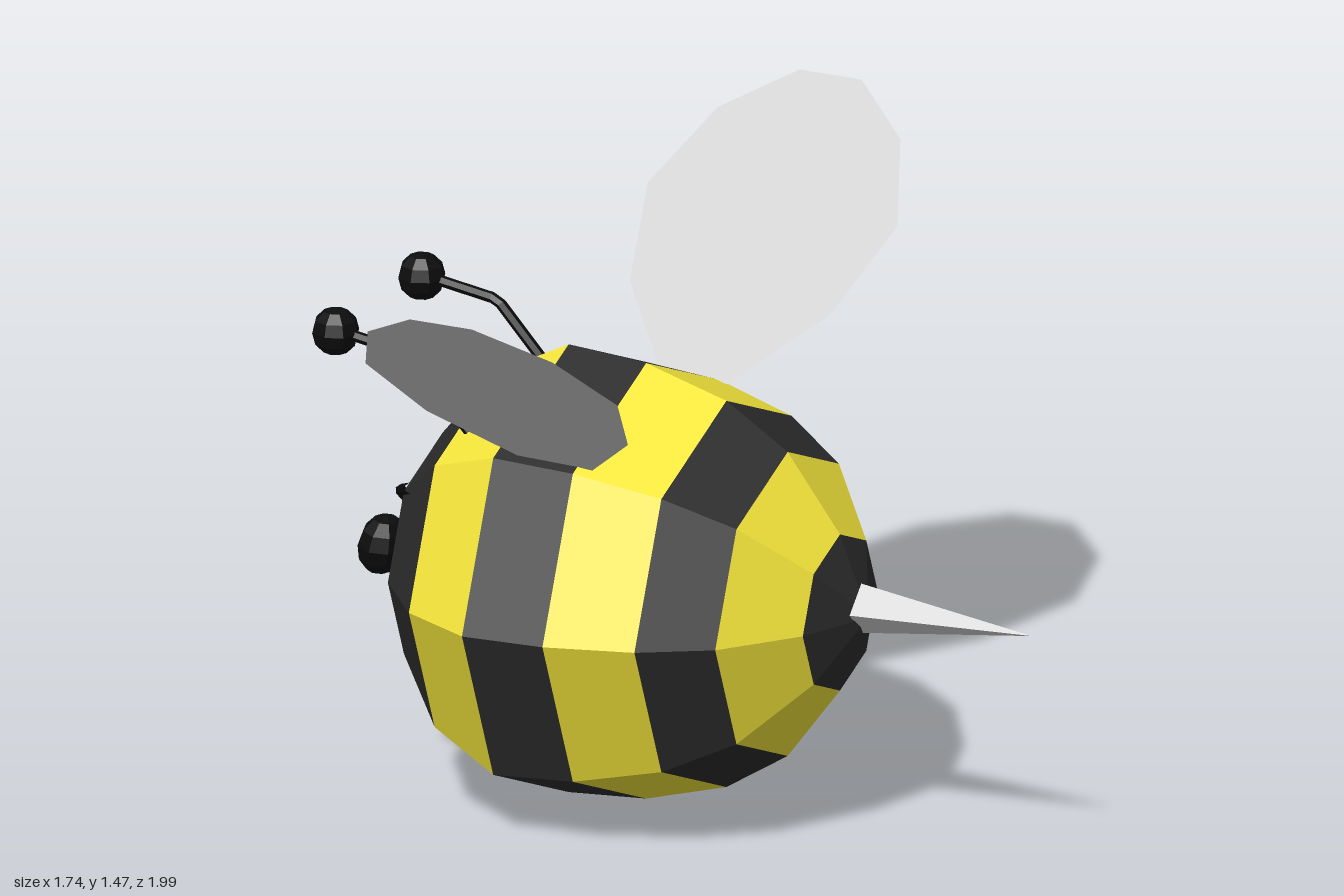
import * as THREE from 'three';

const mat = (color, extra = {}) => new THREE.MeshStandardMaterial({ color, flatShading: true, ...extra });

export function createModel() {
  const root = new THREE.Group();
  const yellow = mat(0xf5e63b), dark = mat(0x2c2c2c), black = mat(0x0c0c0c);
  const grey = mat(0xcccccc), wingGrey = mat(0xcccccc, { side: THREE.DoubleSide });

  const add = (name, geometry, material, parent = root) => {
    const mesh = new THREE.Mesh(geometry, material);
    mesh.name = name;
    parent.add(mesh);
    return mesh;
  };

  // Thin rod through a few points, with straight segments
  const rod = (name, points, radius, parent) => {
    const path = new THREE.CurvePath();
    const v = points.map((p) => new THREE.Vector3(...p));
    for (let i = 1; i < v.length; i++) path.add(new THREE.LineCurve3(v[i - 1], v[i]));
    return add(name, new THREE.TubeGeometry(path, 8 * (v.length - 1), radius, 6), black, parent);
  };

  // Striped octagonal body: [x, radius] rings, one band between each pair
  const body = new THREE.Group();
  body.name = 'body';
  root.add(body);
  const rings = [[-0.765, 0], [-0.655, 0.28], [-0.515, 0.45], [-0.33, 0.545], [-0.13, 0.53],
    [0.077, 0.47], [0.235, 0.37], [0.37, 0.19], [0.445, 0]];
  for (let i = 1; i < rings.length; i++) {
    const [x0, r0] = rings[i - 1], [x1, r1] = rings[i];
    const band = new THREE.CylinderGeometry(r1, r0, x1 - x0, 8, 1, true);
    band.rotateZ(-Math.PI / 2).translate((x0 + x1) / 2, 0.548, 0);
    add(i % 2 ? 'yellowStripe' : 'darkStripe', band, i % 2 ? yellow : dark, body);
  }

  // Four-sided stinger
  const sting = new THREE.ConeGeometry(0.06, 0.44, 4);
  sting.rotateZ(-Math.PI / 2).translate(0.645, 0.567, 0);
  add('stinger', sting, grey);

  // Wing outline as [x, y]; depth follows the slope of the wing
  const outline = [[-0.28, 0.94], [-0.095, 0.927], [0.082, 1.068], [0.157, 1.237], [0.077, 1.383],
    [-0.077, 1.472], [-0.237, 1.472], [-0.397, 1.387], [-0.49, 1.242], [-0.434, 1.073]];

  for (const s of [1, -1]) {
    const side = new THREE.Group();
    side.name = s > 0 ? 'frontSide' : 'backSide';
    root.add(side);

    const wing = new THREE.ShapeGeometry(new THREE.Shape(outline.map((p) => new THREE.Vector2(...p))));
    const pos = wing.attributes.position;
    for (let i = 0; i < pos.count; i++) pos.setZ(i, s * (0.36 + (pos.getY(i) - 0.94) * 1.195));
    wing.computeVertexNormals();
    add('wing', wing, wingGrey, side);

    // Bent antenna with a ball tip
    const z = 0.22 * s;
    rod('antenna', [[-0.475, 0.925, z], [-0.625, 1.09, z], [-0.82, 1.12, z]], 0.013, side);
    add('antennaTip', new THREE.SphereGeometry(0.057, 8, 6), black, side).position.set(-0.82, 1.117, z);

    // Eye and slanted brow
    const eye = add('eye', new THREE.SphereGeometry(0.072, 8, 6), black, side);
    eye.position.set(-0.705, 0.613, 0.207 * s);
    eye.scale.set(0.78, 1, 1);
    eye.rotation.z = -0.15;
    rod('brow', [[-0.6, 0.785, 0.275 * s], [-0.668, 0.745, 0.19 * s], [-0.7, 0.685, 0.085 * s]], 0.013, side);
  }

  // Down-turned mouth
  rod('mouth', [[-0.692, 0.4, -0.13], [-0.738, 0.48, -0.05], [-0.738, 0.48, 0.05], [-0.692, 0.4, 0.13]], 0.011);

  return root;
}
